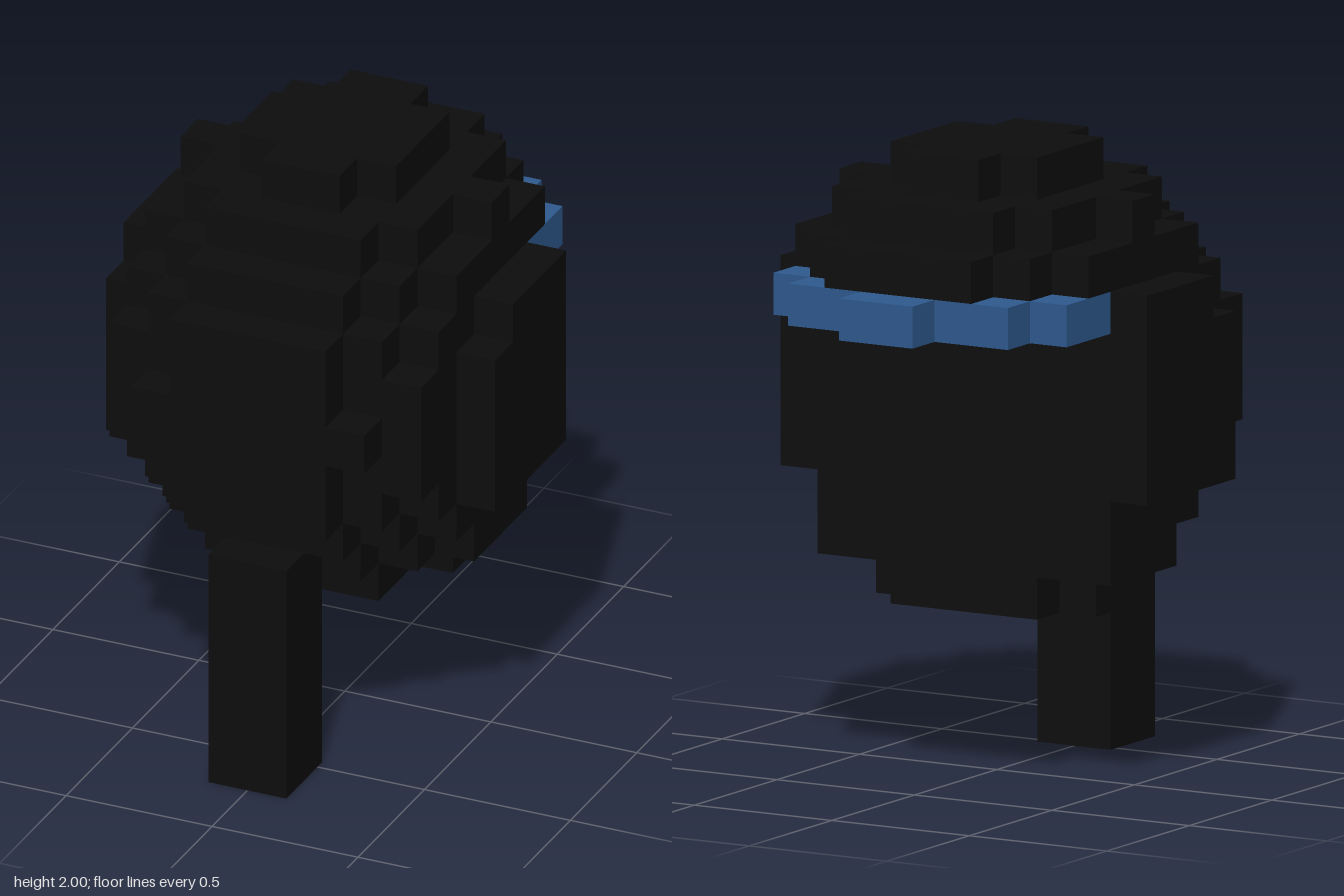
import * as THREE from 'three';

const U = 2 / 15; // size of one block

// Stepped, left-right symmetric slab. Each step is [half width, z reach], widest first;
// the reach is cut off at the back and front limits.
function steppedSlab(steps, y, height, back, front) {
  const right = [];
  let last = null;
  const frontPts = [], backPts = [];
  for (const [x, z] of steps) {
    const f = Math.min(z, front), b = Math.max(-z, back);
    if (!last || f !== last.f) {
      if (last) frontPts.push([x, last.f]);
      frontPts.push([x, f]);
    }
    if (!last || b !== last.b) {
      if (last) backPts.push([x, last.b]);
      backPts.push([x, b]);
    }
    last = { f, b };
  }
  right.push(...backPts.reverse(), ...frontPts);
  const left = right.map(([x, z]) => [-x, z]).reverse();
  const pts = [...right, ...left].map(([x, z]) => new THREE.Vector2(x * U, -z * U));
  const geo = new THREE.ExtrudeGeometry(new THREE.Shape(pts), { depth: height * U, bevelEnabled: false });
  geo.rotateX(-Math.PI / 2);
  geo.translate(0, y * U, 0);
  return geo;
}

export function createModel() {
  const group = new THREE.Group();
  const black = new THREE.MeshStandardMaterial({ color: 0x0d0d0d });
  black.name = 'black';
  const blue = new THREE.MeshStandardMaterial({ color: 0x2e5a8e });
  blue.name = 'blue';

  const add = (name, geo, mat) => {
    const mesh = new THREE.Mesh(geo, mat);
    mesh.name = name;
    group.add(mesh);
  };

  // Rounded body, cut flat at the back: [bottom, height, steps]
  const middle = [[5, 2.5], [4, 4.5], [2, 5.5]];
  const body = [
    [4, 1, [[3, 0.5], [2, 2.5]]],
    [5, 1, [[4, 1.5], [3, 2.5], [2, 3.5]]],
    [6, 1, [[4, 2.5], [3, 3.5], [2, 4.5]]],
    [7, 1, [[5, 2.5], [4, 3.5], [3, 4.5], [2, 5.5]]],
    [8, 1, middle],
    [9, 1, [[5, 2.5], [4, 4.5], [3, 5.5]]],
    [10, 1, middle],
    [11, 1, [[5, 1.5], [4, 3.5], [3, 4.5], [2, 5.5]]],
  ];
  for (const [y, h, steps] of body) add('bodyLayer', steppedSlab(steps, y, h, -1.5, 9), black);

  // Domed crown reaching over the cut
  const crown = [
    [12, [[4, 2.5], [3, 3.5], [2, 4.5]]],
    [13, [[4, 0.5], [3, 2.5], [2, 3.5]]],
    [14, [[2, 1.5], [1, 2.5]]],
  ];
  for (const [y, steps] of crown) add('crownLayer', steppedSlab(steps, y, 1, -9, 9), black);

  // Blue band under the crown
  add('band', steppedSlab([[4, 3.5], [3, 4.5], [1, 5.5]], 11, 1, -9, -1.5), blue);

  // Hanging tail
  const tail = new THREE.BoxGeometry(2 * U, 6 * U, 2 * U);
  tail.translate(0, 3 * U, 4.5 * U);
  add('tail', tail, black);

  return group;
}
